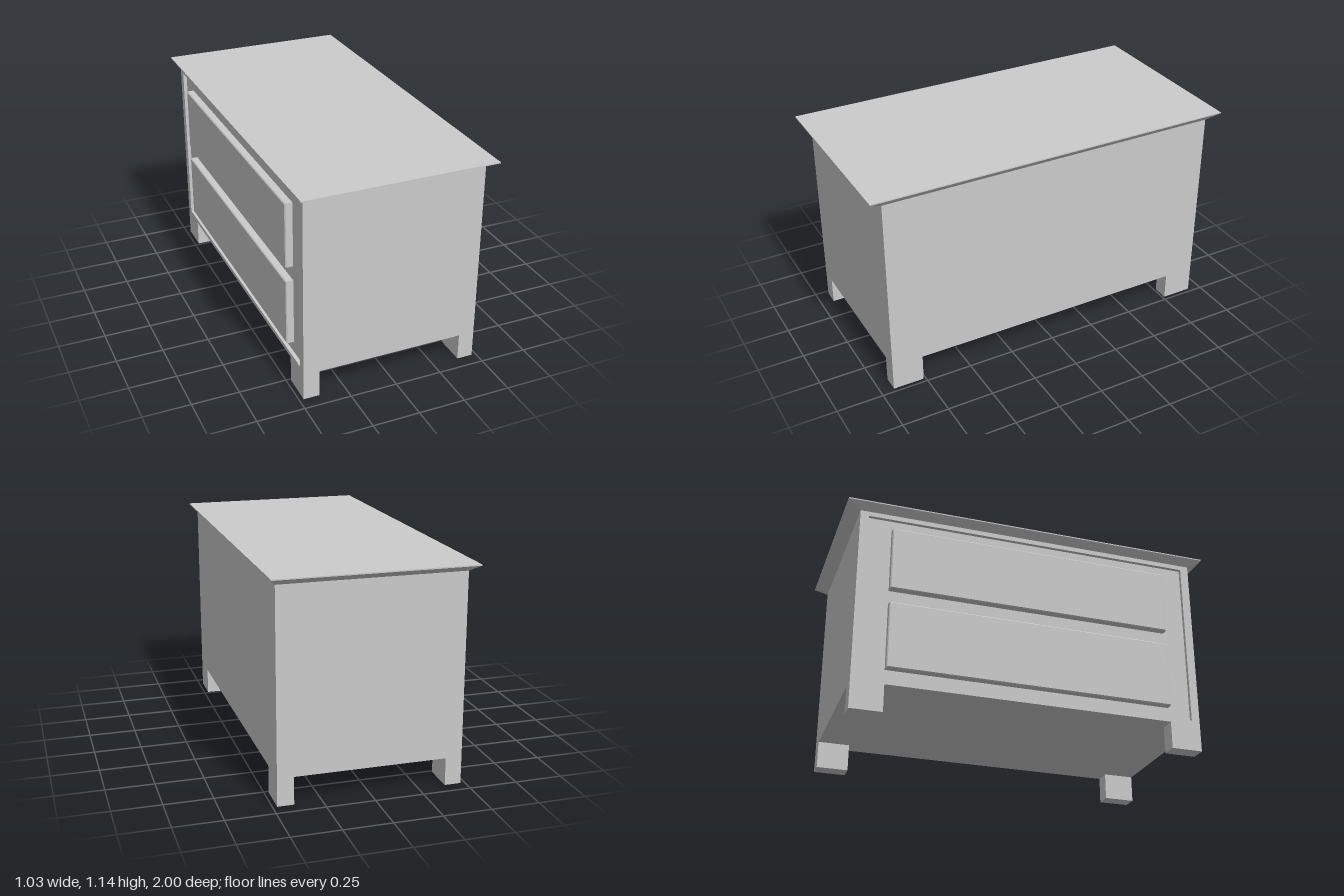
import * as THREE from 'three';

const material = new THREE.MeshStandardMaterial({ color: 0xcccccc });

// Main dimensions: half sizes of the body and the top, and key heights
const BX = 0.477, BZ = 0.93, TX = 0.513, TZ = 1.0;
const Y0 = 0.145, Y1 = 1.1, LIP = 1.137, TOP = 1.143;
const RECESS = 0.02;

function add(parent, name, geometry, x = 0, y = 0, z = 0) {
  const mesh = new THREE.Mesh(geometry, material);
  mesh.name = name;
  mesh.position.set(x, y, z);
  parent.add(mesh);
  return mesh;
}

// Box given by its min and max corners
function addBox(parent, name, [x0, y0, z0], [x1, y1, z1]) {
  return add(parent, name, new THREE.BoxGeometry(x1 - x0, y1 - y0, z1 - z0),
    (x0 + x1) / 2, (y0 + y1) / 2, (z0 + z1) / 2);
}

// Upright rectangle spanning +-hz across and y0..y1 in height
function rect(hz, y0, y1, Type = THREE.Shape) {
  return new Type([[-hz, y0], [hz, y0], [hz, y1], [-hz, y1]].map(p => new THREE.Vector2(...p)));
}

// Extrude towards -x, with the shape's x running along z
function extrudeToDrawerSide(shape, options) {
  return new THREE.ExtrudeGeometry(shape, options).rotateY(-Math.PI / 2);
}

export function createModel() {
  const chest = new THREE.Group();
  chest.name = 'drawerChest';

  // Body, set back behind the drawer frame
  addBox(chest, 'body', [-BX + RECESS, Y0, -BZ], [BX, Y1, BZ]);

  // Raised frame around the recessed drawer side
  const frame = rect(BZ, Y0, Y1);
  frame.holes.push(rect(0.885, 0.168, 1.075, THREE.Path));
  add(chest, 'drawerFrame', extrudeToDrawerSide(frame, { depth: RECESS, bevelEnabled: false }), -BX + RECESS);

  // Two drawer fronts with a fine chamfer
  const c = 0.005;
  for (const [name, y0, y1] of [['lowerDrawer', 0.23, 0.588], ['upperDrawer', 0.667, 1.013]]) {
    const front = extrudeToDrawerSide(rect(0.76 - c, y0 + c, y1 - c), {
      depth: 0.045, bevelSize: c, bevelThickness: c, bevelSegments: 1,
    });
    add(chest, name, front, -0.497 + 0.045 + c);
  }

  // Four square feet flush with the corners
  for (const sx of [-1, 1]) for (const sz of [-1, 1]) {
    add(chest, 'foot', new THREE.BoxGeometry(0.085, Y0, 0.168),
      sx * (BX - 0.0425), Y0 / 2, sz * (BZ - 0.084));
  }

  // Top moulding: a box whose lower corners are pulled in to the body
  const moulding = new THREE.BoxGeometry(2 * TX, LIP - Y1, 2 * TZ);
  const pos = moulding.attributes.position;
  for (let i = 0; i < pos.count; i++) {
    if (pos.getY(i) < 0) {
      pos.setX(i, Math.sign(pos.getX(i)) * BX);
      pos.setZ(i, Math.sign(pos.getZ(i)) * BZ);
    }
  }
  moulding.computeVertexNormals();
  add(chest, 'topMoulding', moulding, 0, (Y1 + LIP) / 2);
  addBox(chest, 'topBoard', [-TX, LIP, -TZ], [TX, TOP, TZ]);

  return chest;
}
